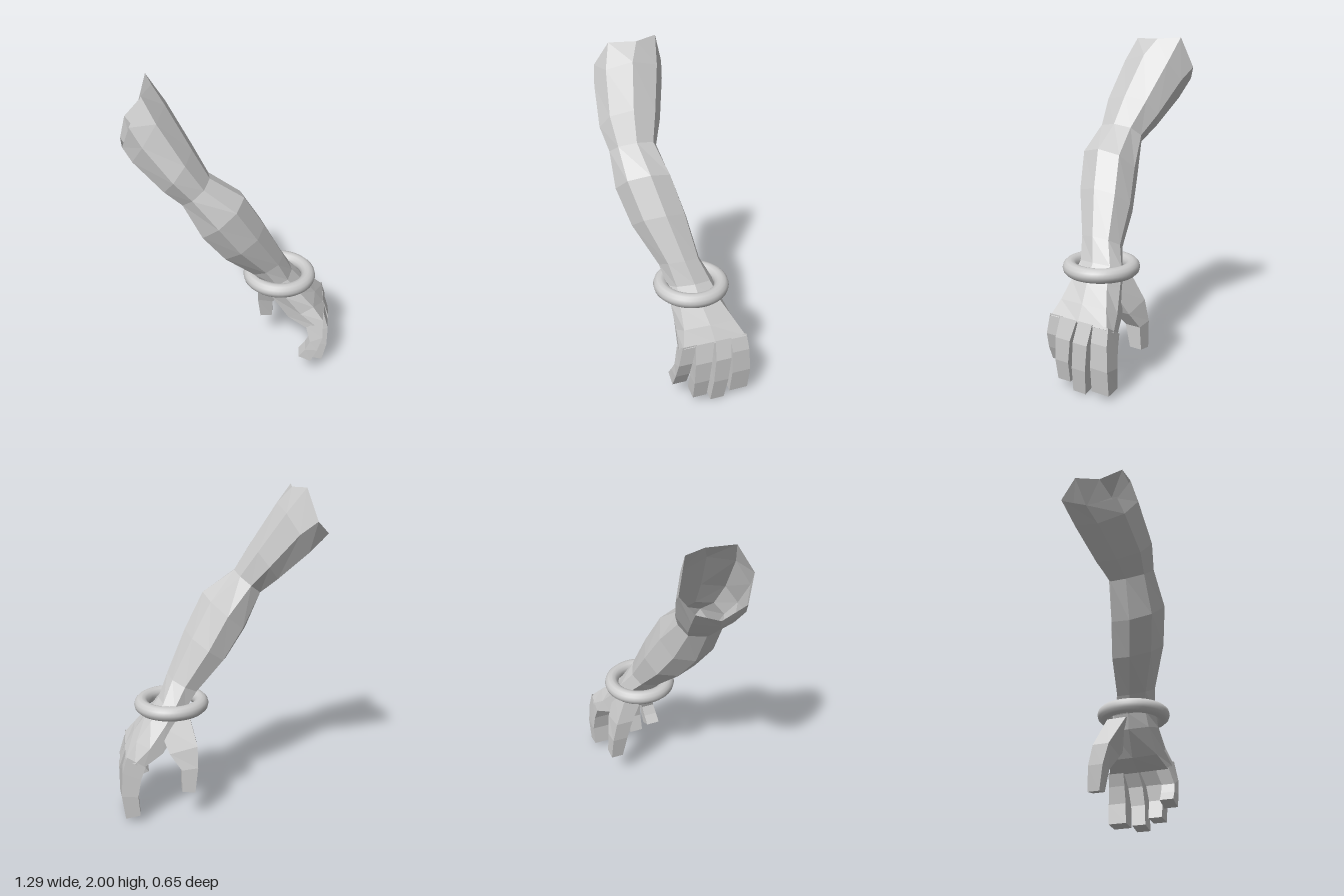
import * as THREE from 'three';

const skin = new THREE.MeshStandardMaterial({ color: 0xcccccc, flatShading: true, side: THREE.DoubleSide });
const metal = new THREE.MeshStandardMaterial({ color: 0xcccccc });

// A section is [outer x, outer y, inner x, inner y, z max, z min, corner fullness].
// Its ring runs from the outer point towards +z and around.
function ring([ux, uy, lx, ly, z1, z0, k = 0.74], sides) {
  const shape = sides === 4
    ? [[1, -1], [1, 1], [-1, 1], [-1, -1]]
    : [[1, 0], [k, k], [0, 1], [-k, k], [-1, 0], [-k, -k], [0, -1], [k, -k]];
  return shape.map(([a, b]) => new THREE.Vector3(
    (ux + lx) / 2 + a * (ux - lx) / 2,
    (uy + ly) / 2 + a * (uy - ly) / 2,
    (z1 + z0) / 2 + b * (z1 - z0) / 2));
}

// Skins a list of rings and closes the last one.
function loft(name, rings) {
  const n = rings[0].length;
  const points = rings.flat();
  const index = [];
  for (let r = 0; r < rings.length - 1; r++) {
    for (let i = 0; i < n; i++) {
      const a = r * n + i, b = r * n + (i + 1) % n;
      index.push(a, b, a + n, b, b + n, a + n);
    }
  }
  const end = (rings.length - 1) * n;
  for (let i = 1; i < n - 1; i++) index.push(end, end + i, end + i + 1);
  const geometry = new THREE.BufferGeometry().setFromPoints(points);
  geometry.setIndex(index);
  const flat = geometry.toNonIndexed();
  flat.computeVertexNormals();
  const mesh = new THREE.Mesh(flat, skin);
  mesh.name = name;
  return mesh;
}

export function createModel() {
  const model = new THREE.Group();
  model.name = 'arm';

  // Ragged open end of the upper arm
  const openEnd = [
    [-0.45, 1.99, 0.04], [-0.48, 1.99, 0.21], [-0.54, 1.84, 0.29], [-0.60, 1.69, 0.23],
    [-0.65, 1.66, 0.05], [-0.65, 1.73, -0.10], [-0.57, 1.81, -0.16], [-0.51, 2.00, -0.10],
  ].map(p => new THREE.Vector3(...p));

  // Upper arm, elbow, forearm, wrist and palm
  const sections = [
    [-0.37, 1.89, -0.57, 1.57, 0.31, -0.13],
    [-0.22, 1.64, -0.39, 1.41, 0.33, -0.06],
    [-0.12, 1.47, -0.29, 1.33, 0.30, 0.00],
    [0.08, 1.34, -0.19, 1.10, 0.31, -0.05],
    [0.20, 1.12, -0.06, 0.92, 0.25, -0.10],
    [0.32, 0.86, 0.12, 0.75, 0.13, -0.13],
    [0.38, 0.72, 0.20, 0.66, 0.10, -0.19],
    [0.46, 0.62, 0.24, 0.57, 0.10, -0.22, 0.8],
    [0.54, 0.52, 0.36, 0.42, 0.10, -0.27, 0.88],
    [0.60, 0.43, 0.49, 0.36, 0.115, -0.31, 0.95],
  ];
  model.add(loft('armAndPalm', [openEnd, ...sections.map(s => ring(s, 8))]));

  // Curled fingers and thumb, each from root to tip
  const digits = {
    littleFinger: [
      [0.595, 0.44, 0.49, 0.37, 0.11, 0.02],
      [0.60, 0.31, 0.52, 0.27, 0.135, 0.05],
      [0.57, 0.21, 0.49, 0.21, 0.145, 0.055],
      [0.53, 0.12, 0.45, 0.155, 0.15, 0.06],
    ],
    ringFinger: [
      [0.60, 0.44, 0.49, 0.37, 0.03, -0.09],
      [0.635, 0.32, 0.54, 0.28, 0.04, -0.065],
      [0.635, 0.18, 0.55, 0.18, 0.045, -0.05],
      [0.61, 0.05, 0.52, 0.065, 0.045, -0.045],
    ],
    middleFinger: [
      [0.60, 0.44, 0.49, 0.37, -0.10, -0.20],
      [0.64, 0.32, 0.54, 0.28, -0.09, -0.19],
      [0.64, 0.16, 0.55, 0.16, -0.08, -0.175],
      [0.615, 0.005, 0.53, 0.03, -0.07, -0.16],
    ],
    indexFinger: [
      [0.59, 0.44, 0.48, 0.37, -0.20, -0.305],
      [0.62, 0.34, 0.51, 0.29, -0.205, -0.315],
      [0.63, 0.19, 0.53, 0.18, -0.205, -0.325],
      [0.61, 0.035, 0.52, 0.05, -0.20, -0.32],
    ],
    thumb: [
      [0.40, 0.60, 0.20, 0.64, -0.06, -0.19],
      [0.33, 0.43, 0.16, 0.47, -0.16, -0.27],
      [0.26, 0.33, 0.16, 0.34, -0.20, -0.30],
      [0.26, 0.19, 0.18, 0.18, -0.23, -0.31],
    ],
  };
  for (const [name, path] of Object.entries(digits)) {
    model.add(loft(name, path.map(s => ring(s, 4))));
  }

  // Bangle lying level around the wrist
  const bangle = new THREE.Mesh(new THREE.TorusGeometry(0.187, 0.045, 12, 48), metal);
  bangle.name = 'bangle';
  bangle.rotation.x = Math.PI / 2;
  bangle.position.set(0.30, 0.68, -0.05);
  model.add(bangle);

  return model;
}
